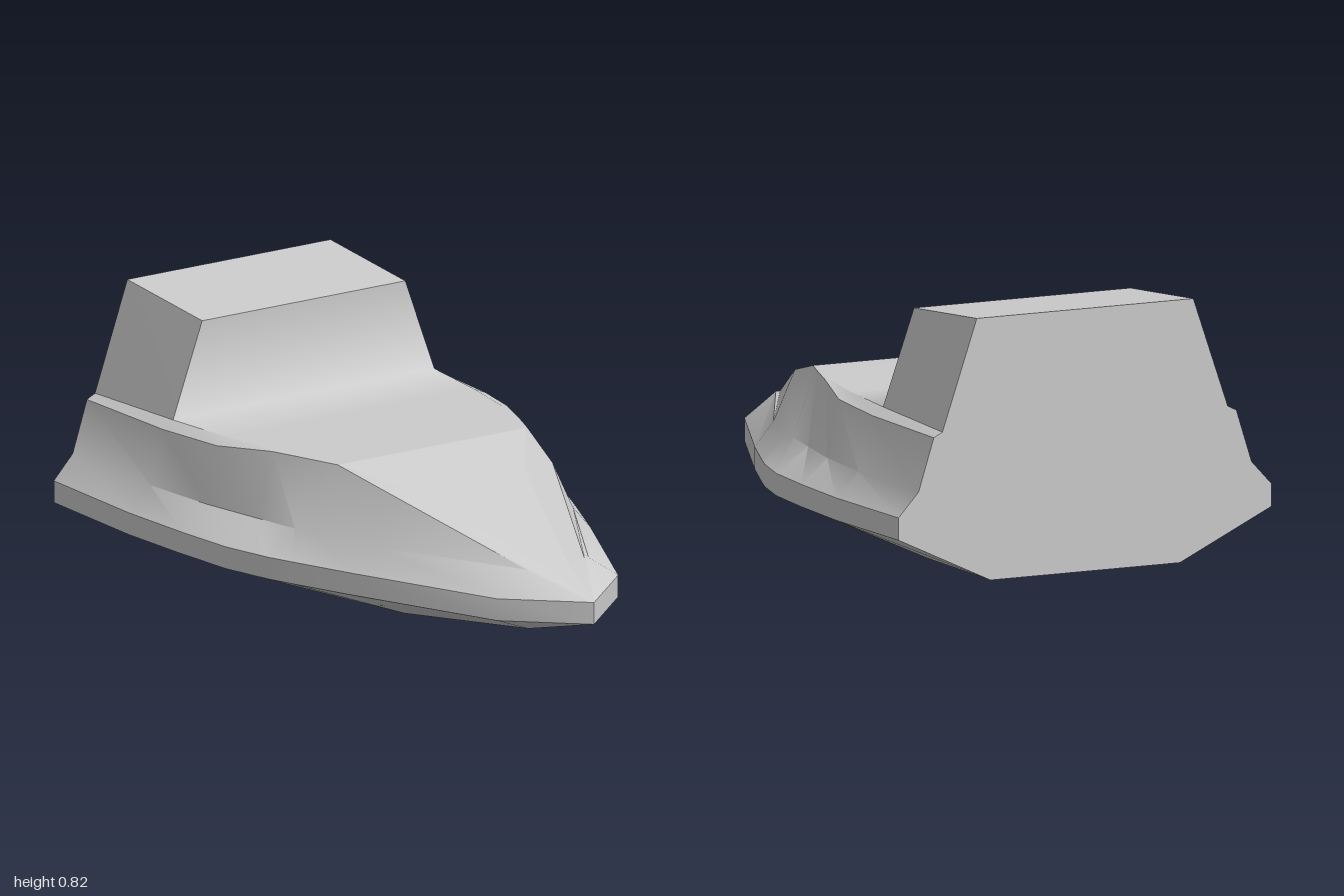
import * as THREE from 'three';
import { toCreasedNormals } from 'three/addons/utils/BufferGeometryUtils.js';

// Hull stations, bow to stern:
// z, keelX, keelY, chineX, shoulderX, outerX, outerY, innerX, innerY
const STATIONS = [
  [1.0, 0, 0.15, 0, 0, 0, 0.22, 0, 0.22],
  [0.8, 0.11, 0.105, 0.225, 0.115, 0.1, 0.295, 0.04, 0.287],
  [0.33, 0.25, 0.06, 0.44, 0.375, 0.3, 0.45, 0.2, 0.437],
  [0.115, 0.31, 0.06, 0.53, 0.44, 0.352, 0.5, 0.345, 0.5],
  [0.04, 0.32, 0.06, 0.56, 0.46, 0.38, 0.5, 0.37, 0.5],
  [-0.12, 0.33, 0.08, 0.605, 0.495, 0.435, 0.498, 0.42, 0.498],
  [-0.33, 0.33, 0.05, 0.63, 0.54, 0.5, 0.475, 0.457, 0.494],
  [-0.59, 0.33, 0.005, 0.65, 0.57, 0.523, 0.466, 0.485, 0.49],
  [-1.0, 0.33, 0, 0.65, 0.58, 0.527, 0.46, 0.497, 0.475],
];
const CABIN_X = 0.377, CABIN_FRONT = 0.79, CABIN_BACK = 0.82;
const mirror = ([x, y, z]) => [-x, y, z];

// Skin through equal-length rows of points
function loft(rows, crease) {
  const n = rows[0].length, index = [];
  for (let r = 0; r < rows.length - 1; r++) {
    for (let c = 0; c < n - 1; c++) {
      const a = r * n + c, b = a + n;
      index.push(a, b, a + 1, b, b + 1, a + 1);
    }
  }
  const geo = new THREE.BufferGeometry();
  geo.setAttribute('position', new THREE.Float32BufferAttribute(rows.flat(2), 3));
  geo.setIndex(index);
  geo.computeVertexNormals();
  return crease ? toCreasedNormals(geo, crease) : geo;
}

// One side of a station, from keel up to the deck
function halfSection([z, kx, ky, cx, sx, ox, oy, ix, iy]) {
  return [[kx, ky, z], [cx, 0.15, z], [cx, 0.22, z],
    [sx, z === 1 ? 0.22 : 0.295, z], [ox, oy, z], [ix, iy, z]];
}

export function createModel() {
  const group = new THREE.Group();
  const material = new THREE.MeshStandardMaterial({ color: 0xcccccc });
  const add = (name, geometry) => {
    const mesh = new THREE.Mesh(geometry, material);
    mesh.name = name;
    group.add(mesh);
  };

  const halves = STATIONS.map(halfSection);
  const inner = halves.map(h => h[5]);
  const across = p => [p, mirror(p)];

  // Bottom, bulging sides and sloping walls
  add('hull', loft(halves.map(h => [...h.map(mirror).reverse(), ...h]), 0.6));

  // Slightly hollow foredeck
  add('foredeck', loft(inner.slice(0, 4).map(across)));

  // Deck shaded smoothly into the cabin front
  const frontTop = [CABIN_X, CABIN_FRONT, -0.59];
  add('deckAndCabinFront', loft([...inner.slice(3, 8), frontTop].map(across)));

  // Cabin sides and roof
  const backTop = [CABIN_X, CABIN_BACK, -1];
  add('cabin', loft([[inner[7], frontTop], [inner[8], backTop]].map(
    half => [...half, ...half.map(mirror).reverse()]), 0.5));

  // Flat stern
  const outline = [...halves[8], backTop];
  const shape = new THREE.Shape([...outline, ...outline.map(mirror).reverse()]
    .map(([x, y]) => new THREE.Vector2(x, y)));
  add('stern', new THREE.ShapeGeometry(shape).rotateY(Math.PI).translate(0, 0, -1));

  return group;
}
